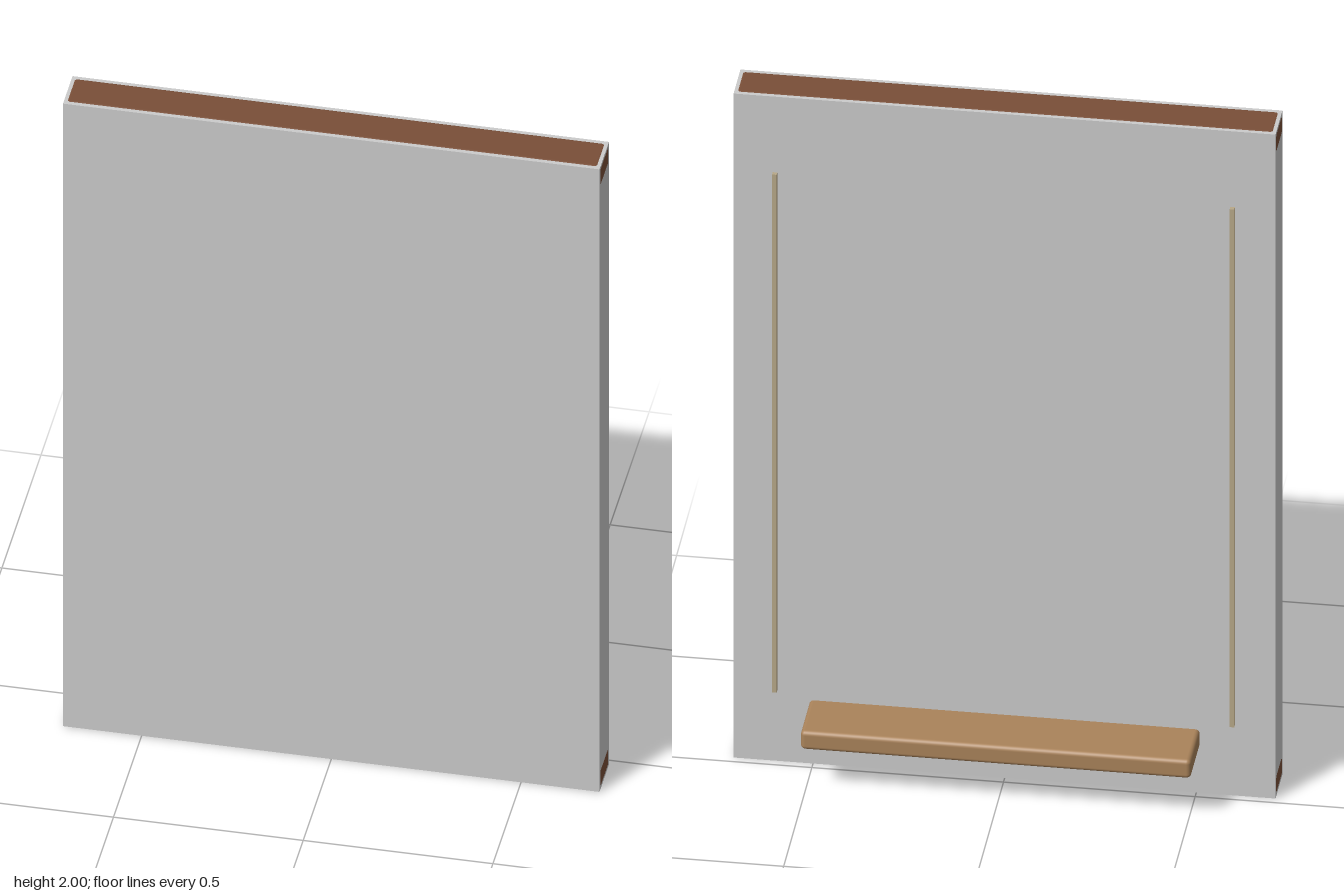
import * as THREE from 'three';
import { RoundedBoxGeometry } from 'three/addons/geometries/RoundedBoxGeometry.js';

const W = 1.414, H = 2, D = 0.122, PANEL_Z = 0.08;

export function createModel() {
  const group = new THREE.Group();
  const grey = new THREE.MeshStandardMaterial({ color: 0xcccccc });
  const darkWood = new THREE.MeshStandardMaterial({ color: 0x7a4f38 });
  const lightWood = new THREE.MeshStandardMaterial({ color: 0xaa835a });
  const brass = new THREE.MeshStandardMaterial({ color: 0xb8a888 });

  const add = (name, geometry, material, x, y, z) => {
    const mesh = new THREE.Mesh(geometry, material);
    mesh.name = name;
    mesh.position.set(x, y, z);
    group.add(mesh);
  };

  // Flat board
  add('panel', new THREE.BoxGeometry(W, H, D), grey, 0, H / 2, PANEL_Z);

  // Wooden frame set into the board, its faces a hair proud at the top, bottom and rail ends
  const bar = 0.07, proud = 0.001;
  const rail = new RoundedBoxGeometry(W + 2 * proud, bar, D - 0.002, 3, 0.016);
  const stile = new RoundedBoxGeometry(bar, H - 2 * bar, D - 0.002, 3, 0.016);
  add('topRail', rail, darkWood, 0, H - bar / 2 + proud, PANEL_Z);
  add('bottomRail', rail, darkWood, 0, bar / 2 - proud, PANEL_Z);
  for (const [side, s] of [['left', 1], ['right', -1]]) {
    add(side + 'Stile', stile, darkWood, s * (W / 2 - bar / 2 - 0.002), H / 2, PANEL_Z);

    // Thin upright strip standing just behind the board
    add(side + 'Strip', new THREE.BoxGeometry(0.012, 1.56, 0.012), brass, s * 0.597, 1, 0);
  }

  // Ledge on the back, its front edge buried in the board
  add('ledge', new RoundedBoxGeometry(1.018, 0.055, 0.18, 3, 0.012), lightWood, 0, 0.163, -0.052);

  return group;
}
